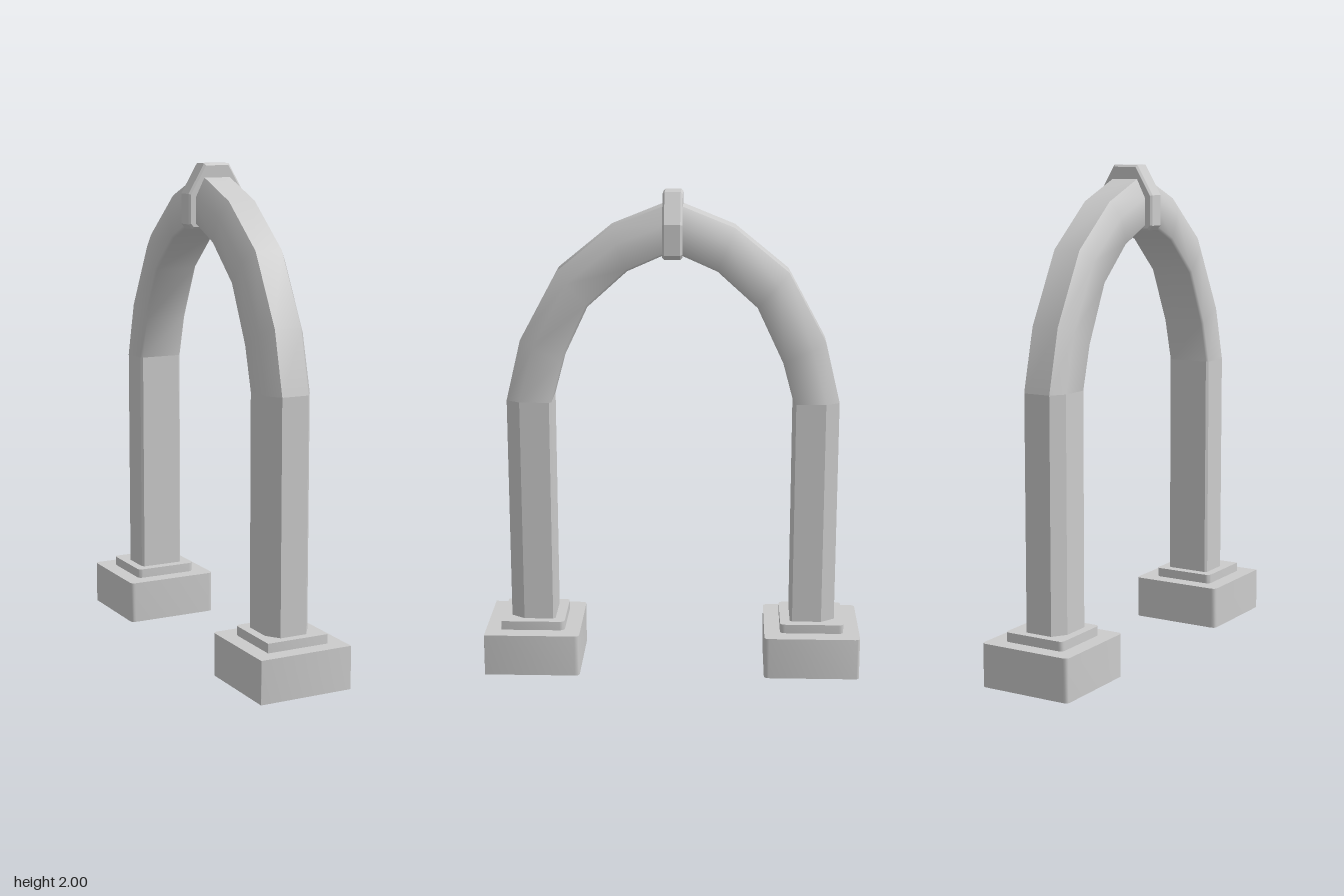
import * as THREE from 'three';
import { toCreasedNormals } from 'three/addons/utils/BufferGeometryUtils.js';

const material = new THREE.MeshStandardMaterial({ color: 0xcccccc });

function part(name, geometry) {
  const mesh = new THREE.Mesh(geometry, material);
  mesh.name = name;
  return mesh;
}

// Sweeps the chamfered section through stations [outerZ, outerY, innerZ, innerY, chamfer depth]
function loft(stations, crease) {
  const positions = [], index = [], n = 8;
  for (const [oz, oy, iz, iy, c] of stations) {
    const ring = [[-0.057, 0], [0.057, 0], [0.095, c], [0.095, 0.95],
      [0.086, 1], [-0.086, 1], [-0.095, 0.95], [-0.095, c]];
    for (const [x, t] of ring) positions.push(x, oy + (iy - oy) * t, oz + (iz - oz) * t);
  }
  for (let i = 0; i < stations.length - 1; i++) {
    for (let j = 0; j < n; j++) {
      const a = i * n + j, b = i * n + (j + 1) % n;
      index.push(a, b, b + n, a, b + n, a + n);
    }
  }
  const geometry = new THREE.BufferGeometry();
  geometry.setAttribute('position', new THREE.Float32BufferAttribute(positions, 3));
  geometry.setIndex(index);
  return toCreasedNormals(geometry, crease);
}

// Square slab with softened vertical corners; the front pair may stay sharp
function slab(half, y, height, z, sharpFront) {
  const r = 0.02, f = sharpFront ? 0.0005 : r;
  const s = new THREE.Shape();
  s.moveTo(-half + f, -half);
  s.lineTo(half - f, -half);
  s.quadraticCurveTo(half, -half, half, -half + f);
  s.lineTo(half, half - r);
  s.quadraticCurveTo(half, half, half - r, half);
  s.lineTo(-half + r, half);
  s.quadraticCurveTo(-half, half, -half, half - r);
  s.lineTo(-half, -half + f);
  s.quadraticCurveTo(-half, -half, -half + f, -half);
  const geometry = new THREE.ExtrudeGeometry(s, {
    depth: height, bevelEnabled: false, curveSegments: sharpFront ? 3 : 4,
  });
  geometry.rotateX(-Math.PI / 2).translate(0, y, z);
  return toCreasedNormals(geometry, 0.6);
}

export function createModel() {
  const group = new THREE.Group();

  // One half of the arch, from the column top to the crown
  const arc = [
    [0.678, 1.15, 0.492, 1.15, 0.3],
    [0.618, 1.40, 0.446, 1.32, 0.31],
    [0.465, 1.683, 0.340, 1.545, 0.33],
    [0.248, 1.86, 0.180, 1.69, 0.36],
    [0, 1.96, 0, 1.77, 0.4],
  ];
  const column = [[0.678, 0.2, 0.492, 0.2, 0.3], arc[0]];

  // Reversing the mirrored stations keeps the faces outward
  const mirrored = (list) => list.map(([oz, oy, iz, iy, c]) => [-oz, oy, -iz, iy, c]).reverse();

  for (const [side, sign] of [['front', 1], ['back', -1]]) {
    const pick = (list) => (sign > 0 ? list : mirrored(list));
    group.add(
      part(side + 'Plinth', slab(0.198, 0, 0.175, sign * 0.583, sign > 0)),
      part(side + 'PlinthStep', slab(0.132, 0.17, 0.043, sign * 0.583, sign > 0)),
      part(side + 'Column', loft(pick(column), 0.45)),
      part(side + 'Arch', loft(pick(arc), 0.9)),
    );
  }

  // Keystone band wrapped round the crown
  const bevel = 0.008;
  const outline = [[0.05, 1.992], [0.117, 1.878], [0.117, 1.762], [0.105, 1.748]];
  const points = [...outline, ...outline.map(([x, y]) => [-x, y]).reverse()];
  const shape = new THREE.Shape(points.map(([x, y]) => new THREE.Vector2(x, y)));
  const band = new THREE.ExtrudeGeometry(shape, {
    depth: 0.08 - 2 * bevel, bevelSize: bevel, bevelThickness: bevel, bevelSegments: 1,
  });
  band.translate(0, 0, -0.04 + bevel);
  group.add(part('keystone', band));

  return group;
}
